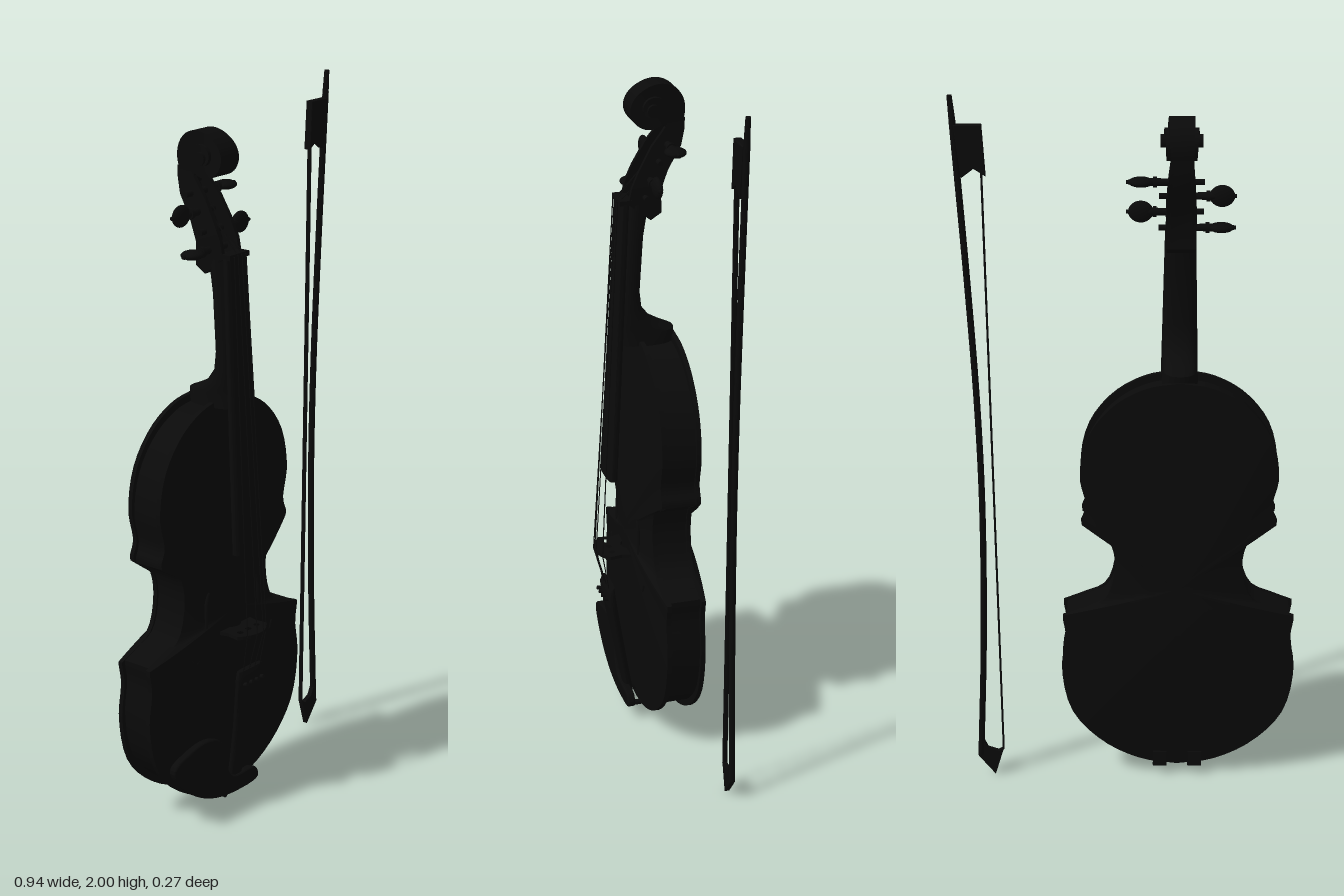
import * as THREE from 'three';
import { toCreasedNormals } from 'three/addons/utils/BufferGeometryUtils.js';

const black = new THREE.MeshStandardMaterial({ color: 0x0a0a0a });
const V = (x, y, z) => new THREE.Vector3(x, y, z);

function add(parent, name, geometry) {
  const mesh = new THREE.Mesh(geometry, black);
  mesh.name = name;
  parent.add(mesh);
  return mesh;
}

// Skin over closed rings (counter-clockwise seen from the end), capped at both ends
function loft(rings, crease = 0.6) {
  const n = rings[0].length, pos = [], idx = [];
  rings.forEach(r => r.forEach(p => pos.push(p.x, p.y, p.z)));
  for (let i = 0; i < rings.length - 1; i++) for (let j = 0; j < n; j++) {
    const a = i * n + j, b = i * n + (j + 1) % n;
    idx.push(a, b, b + n, a, b + n, a + n);
  }
  [0, rings.length - 1].forEach((k, end) => {
    const c = V(0, 0, 0);
    rings[k].forEach(p => c.addScaledVector(p, 1 / n));
    const ci = pos.length / 3;
    pos.push(c.x, c.y, c.z);
    for (let j = 0; j < n; j++) {
      const a = k * n + j, b = k * n + (j + 1) % n;
      end ? idx.push(ci, a, b) : idx.push(ci, b, a);
    }
  });
  const g = new THREE.BufferGeometry();
  g.setAttribute('position', new THREE.Float32BufferAttribute(pos, 3));
  g.setIndex(idx);
  return toCreasedNormals(g, crease);
}

// Upright loft with rounded sections; each station is [y, zFront, zBack, halfWidth]
function uprightLoft(stations, power = 0.7) {
  const soft = v => Math.sign(v) * Math.abs(v) ** power;
  return loft(stations.map(([y, f, b, w]) => Array.from({ length: 24 }, (_, i) => {
    const a = i / 24 * Math.PI * 2;
    return V(w * soft(Math.sin(a)), y, (f + b) / 2 + (f - b) / 2 * soft(Math.cos(a)));
  })));
}

function rod(parent, name, a, b, r0, r1 = r0, sides = 8) {
  const m = add(parent, name, new THREE.CylinderGeometry(r1, r0, a.distanceTo(b), sides));
  m.position.copy(a).lerp(b, 0.5);
  m.quaternion.setFromUnitVectors(V(0, 1, 0), b.clone().sub(a).normalize());
  return m;
}

function slab(points, depth, bevel = 0) {
  const shape = new THREE.Shape(points.map(p => new THREE.Vector2(...p)));
  return new THREE.ExtrudeGeometry(shape, {
    depth, bevelEnabled: bevel > 0, bevelSize: bevel, bevelThickness: bevel, bevelSegments: 3
  }).translate(0, 0, -depth / 2);
}

// Body outline: lower bout, waist and upper bout meeting in sharp corners
function bodyOutline() {
  const bouts = [
    [[0, .03], [.1, .045], [.21, .1], [.3, .2], [.33, .34], [.318, .44], [.326, .495]],
    [[.326, .505], [.275, .525], [.205, .56], [.178, .66], [.195, .735], [.24, .768], [.27, .785]],
    [[.272, .8], [.258, .84], [.275, .93], [.25, 1.05], [.18, 1.14], [.09, 1.19], [0, 1.205]]
  ];
  const half = bouts.flatMap(b =>
    new THREE.CatmullRomCurve3(b.map(([x, y]) => V(x, y, 0)), false, 'centripetal').getPoints(22));
  return [...half, ...half.slice(1, -1).reverse().map(p => V(-p.x, p.y, 0))];
}

function buildBody(violin) {
  const outline = bodyOutline();
  const ring = (s, z) => outline.map(p => V(p.x * s, .6 + (p.y - .6) * s, z));
  const steps = Array.from({ length: 12 }, (_, i) => 0.01 + 0.99 * i / 11);
  const back = steps.map(s => ring(s, -.105 - .028 * (1 - s * s)));
  add(violin, 'backPlate', loft([...back, ring(1, -.092), ring(.9, -.092)]));
  add(violin, 'ribs', loft([ring(.965, -.096), ring(.965, 0)]));
  const front = steps.map(s => ring(s, .008 + .034 * (1 - s * s))).reverse();
  add(violin, 'frontPlate', loft([ring(.9, -.006), ring(1, -.006), ...front]));
  // Sound holes
  for (const side of [-1, 1]) {
    const pts = [[.085, .66], [.1, .67], [.11, .645], [.115, .57], [.135, .5], [.16, .475], [.175, .5]];
    const curve = new THREE.CatmullRomCurve3(pts.map(([x, y]) => V(side * x, y, .03)));
    add(violin, 'soundHole', new THREE.TubeGeometry(curve, 40, .006, 6));
  }
}

function buildNeck(violin) {
  add(violin, 'fingerboard', uprightLoft([[.78, .102, .072, .06], [1.6, .056, .03, .042]], .6));
  add(violin, 'neck', uprightLoft([
    [1.185, .06, -.1, .05], [1.222, .058, -.102, .048], [1.236, .057, -.07, .048], [1.255, .056, -.035, .047],
    [1.29, .054, -.008, .046], [1.34, .052, -.002, .045], [1.5, .043, -.013, .042], [1.6, .036, -.03, .04]
  ], .8));
  const nut = add(violin, 'nut', new THREE.BoxGeometry(.082, .014, .035));
  nut.position.set(0, 1.605, .042);
}

function buildHead(violin) {
  // Pegbox stations: back y, z, front y, z, half width
  const box = [
    [1.55, -.028, 1.6, .036, .038], [1.57, -.058, 1.61, .033, .04], [1.635, -.056, 1.645, .026, .041],
    [1.69, -.076, 1.69, .006, .04], [1.755, -.114, 1.755, -.03, .036], [1.8, -.124, 1.79, -.058, .033],
    [1.83, -.126, 1.82, -.08, .03]
  ];
  const strip = (x0, x1, depth) => loft(box.map(([yo, zo, yi, zi, w]) => {
    const y = yo + (yi - yo) * depth, z = zo + (zi - zo) * depth;
    return [V(x0(w), y, z), V(x1(w), y, z), V(x1(w), yo, zo), V(x0(w), yo, zo)];
  }));
  add(violin, 'pegboxCheek', strip(w => w - .012, w => w, 1));
  add(violin, 'pegboxCheek', strip(w => -w, w => .012 - w, 1));
  add(violin, 'pegboxFloor', strip(w => .01 - w, w => w - .01, .4));
  // Scroll: a spiral band that widens towards its eye
  const radii = new THREE.CatmullRomCurve3([.095, .09, .061, .061, .054, .045, .037, .03, .022].map((r, i) => V(i, r, 0)));
  const rings = [];
  for (let i = 0; i <= 80; i++) {
    const u = i / 80, t = -Math.PI / 2 * .6 + u * Math.PI * 3.6;
    const r = radii.getPoint(u).y, inner = r * (.5 - .35 * u), w = .03 + .02 * u;
    const at = (x, q) => V(x, 1.86 + q * Math.sin(t), -.033 - q * Math.cos(t));
    rings.push([at(-w, inner), at(w, inner), at(w, r), at(-w, r)]);
  }
  add(violin, 'scroll', loft(rings));
  const eye = rod(violin, 'scrollEye', V(-.056, 1.86, -.033), V(.056, 1.86, -.033), .018, .018, 20);
  eye.name = 'scrollEye';
  // Tuning pegs: y, z, side of the head, head turned flat
  [[1.617, -.012, -1, true], [1.665, -.026, 1, false], [1.715, -.05, -1, false], [1.76, -.076, 1, true]]
    .forEach(([y, z, side, flat]) => {
      const peg = new THREE.Group();
      peg.name = 'tuningPeg';
      rod(peg, 'pegShaft', V(-side * .06, 0, 0), V(side * .09, 0, 0), .008, .011, 12);
      rod(peg, 'pegCollar', V(side * .066, 0, 0), V(side * .076, 0, 0), .015, .015, 14);
      const grip = add(peg, 'pegGrip', new THREE.SphereGeometry(1, 20, 12));
      grip.scale.set(.034, .03, .013);
      grip.position.x = side * .108;
      rod(peg, 'pegButton', V(side * .138, 0, 0), V(side * .147, 0, 0), .007, .005);
      peg.position.set(0, y, z);
      if (flat) peg.rotation.x = Math.PI / 2;
      violin.add(peg);
    });
}

function buildFittings(violin) {
  // Bridge with arched top, feet and pierced heart
  const s = new THREE.Shape();
  s.moveTo(-.07, .03).lineTo(-.06, .065).lineTo(-.066, .102).quadraticCurveTo(0, .16, .066, .102)
    .lineTo(.06, .065).lineTo(.07, .03).lineTo(.035, .03).quadraticCurveTo(0, .075, -.035, .03);
  for (const x of [-.036, 0, .036]) s.holes.push(new THREE.Path().absarc(x, .088, .009, 0, Math.PI * 2, true));
  add(violin, 'bridge', new THREE.ExtrudeGeometry(s, { depth: .01, bevelEnabled: false })
    .rotateX(Math.PI / 2).translate(0, .545, 0));
  add(violin, 'tailpiece', uprightLoft([
    [.06, .045, .02, .022], [.15, .062, .036, .028], [.25, .08, .053, .036],
    [.36, .1, .072, .052], [.41, .107, .08, .058], [.43, .1, .082, .052]
  ]));
  rod(violin, 'endPin', V(0, .012, -.045), V(0, .05, -.045), .012, .016, 14);
  rod(violin, 'tailLoop', V(0, .025, -.045), V(0, .07, .03), .006);
  // Strings run from the peg over nut and bridge to the tailpiece
  [[1.617, -.012], [1.715, -.05], [1.76, -.076], [1.665, -.026]].forEach(([y, z], i) => {
    const k = i - 1.5, x = k * .016;
    const pts = [V(x * .6, y, z + .01), V(x, 1.605, .062), V(k * .028, .54, .132 - k * k * .006), V(k * .024, .42, .098)];
    for (let j = 0; j < 3; j++) rod(violin, 'string', pts[j], pts[j + 1], .0016, .0016, 6);
    rod(violin, 'fineTuner', V(k * .024, .385, .08), V(k * .024, .395, .115), .006, .006, 10);
  });
  // Chin rest over the lower right bout, clamped around the bottom edge
  const rim = new THREE.CatmullRomCurve3([[.08, .05], [.07, .075], [-.03, .085], [-.06, .13], [-.08, .21], [-.14, .235],
    [-.22, .225], [-.275, .2], [-.25, .15], [-.18, .09], [-.1, .055], [0, .042]].map(([x, y]) => V(x, y, 0)), true);
  const rest = add(violin, 'chinRest', slab(rim.getPoints(60).map(p => [p.x, p.y]), .012, .006));
  rest.position.z = .045;
  for (const x of [-.05, .05]) {
    rod(violin, 'clampPost', V(x, .036, .045), V(x, .036, -.11), .008, .008, 12);
    const foot = add(violin, 'clampFoot', new THREE.BoxGeometry(.04, .045, .01));
    foot.position.set(x, .05, -.11);
  }
}

function buildBow() {
  const bow = new THREE.Group();
  bow.name = 'bow';
  const path = [[.458, 1.94], [.43, 1.5], [.412, 1.15], [.405, .85], [.41, .45], [.426, .06]];
  const stick = new THREE.CatmullRomCurve3(path.map(([x, y]) => V(x, y, 0)));
  add(bow, 'bowStick', new THREE.TubeGeometry(stick, 60, .009, 10));
  rod(bow, 'bowScrew', V(.457, 1.93, 0), V(.463, 2, 0), .009, .007, 10);
  add(bow, 'bowFrog', slab([[.376, 1.79], [.405, 1.81], [.436, 1.785], [.452, 1.92], [.385, 1.92]], .016, .003));
  add(bow, 'bowHead', slab([[.36, .085], [.385, 0], [.433, .06], [.422, .12], [.405, .085], [.375, .075]], .014));
  const hair = rod(bow, 'bowHair', V(.385, 1.8, 0), V(.361, .08, 0), .003, .003, 6);
  hair.scale.z = 2.5;
  bow.position.z = -.11;
  return bow;
}

export function createModel() {
  const model = new THREE.Group();
  const violin = new THREE.Group();
  violin.name = 'violin';
  violin.position.x = -.14;
  buildBody(violin);
  buildNeck(violin);
  buildHead(violin);
  buildFittings(violin);
  model.add(violin, buildBow());
  return model;
}
